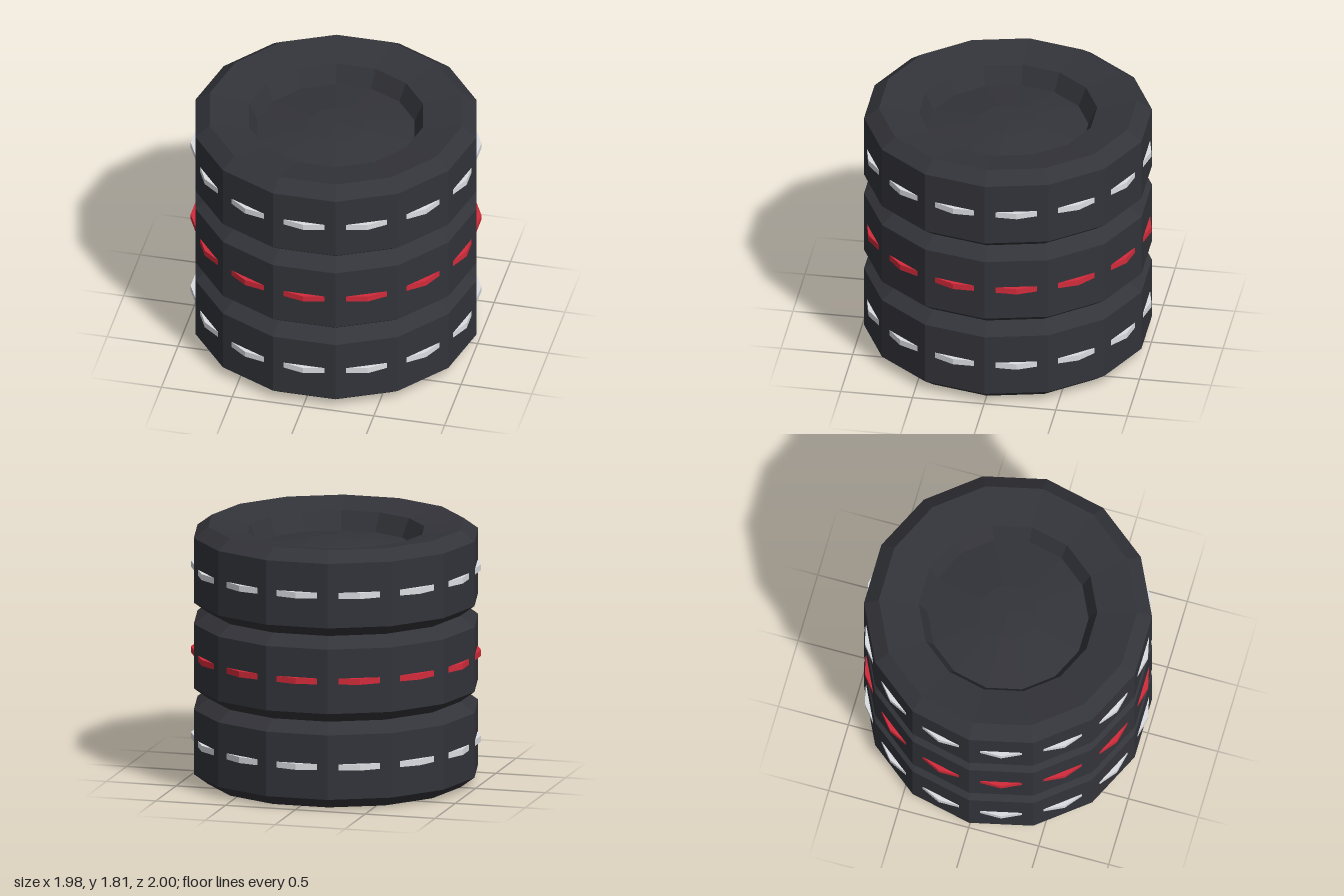
import * as THREE from 'three';

const SIDES = 14;
const TYRE_HEIGHT = 0.604;

// Faceted solid of revolution from [radius, height] pairs, listed from bottom to top
function turned(profile, startAngle) {
  const points = profile.map(([r, y]) => new THREE.Vector2(r, y));
  return new THREE.LatheGeometry(points, SIDES, startAngle);
}

export function createModel() {
  const flat = (name, color) => new THREE.MeshStandardMaterial({ name, color, flatShading: true });
  const rubber = flat('dark rubber', 0x33343a);
  const white = flat('white band', 0xdcdee2);
  const red = flat('red band', 0xd42b3b);

  // Tyre profile: domed centre, recess wall, dished sidewall, chamfers and tread
  const h = TYRE_HEIGHT;
  const lower = [[0, 0.125], [0.2, 0.13], [0.555, 0.177], [0.615, 0.048], [0.89, 0], [0.992, 0.075]];
  const upper = lower.map(([r, y]) => [r, h - y]).reverse();
  const tyreGeometry = turned([...lower, ...upper], Math.PI / 2);

  // Band turned half a step, so only its corners break through the tread as dashes
  const m = h / 2;
  const bandGeometry = turned(
    [[0.93, m - 0.021], [1, m - 0.021], [1, m + 0.021], [0.93, m + 0.021]], 0);

  const model = new THREE.Group();
  model.name = 'tyreStack';
  [['bottom', white], ['middle', red], ['top', white]].forEach(([place, bandColour], i) => {
    const group = new THREE.Group();
    group.name = place + 'Tyre';
    group.position.y = i * TYRE_HEIGHT;

    const tyre = new THREE.Mesh(tyreGeometry, rubber);
    tyre.name = place + 'TyreBody';
    const band = new THREE.Mesh(bandGeometry, bandColour);
    band.name = place + 'DashedBand';

    group.add(tyre, band);
    model.add(group);
  });
  return model;
}
